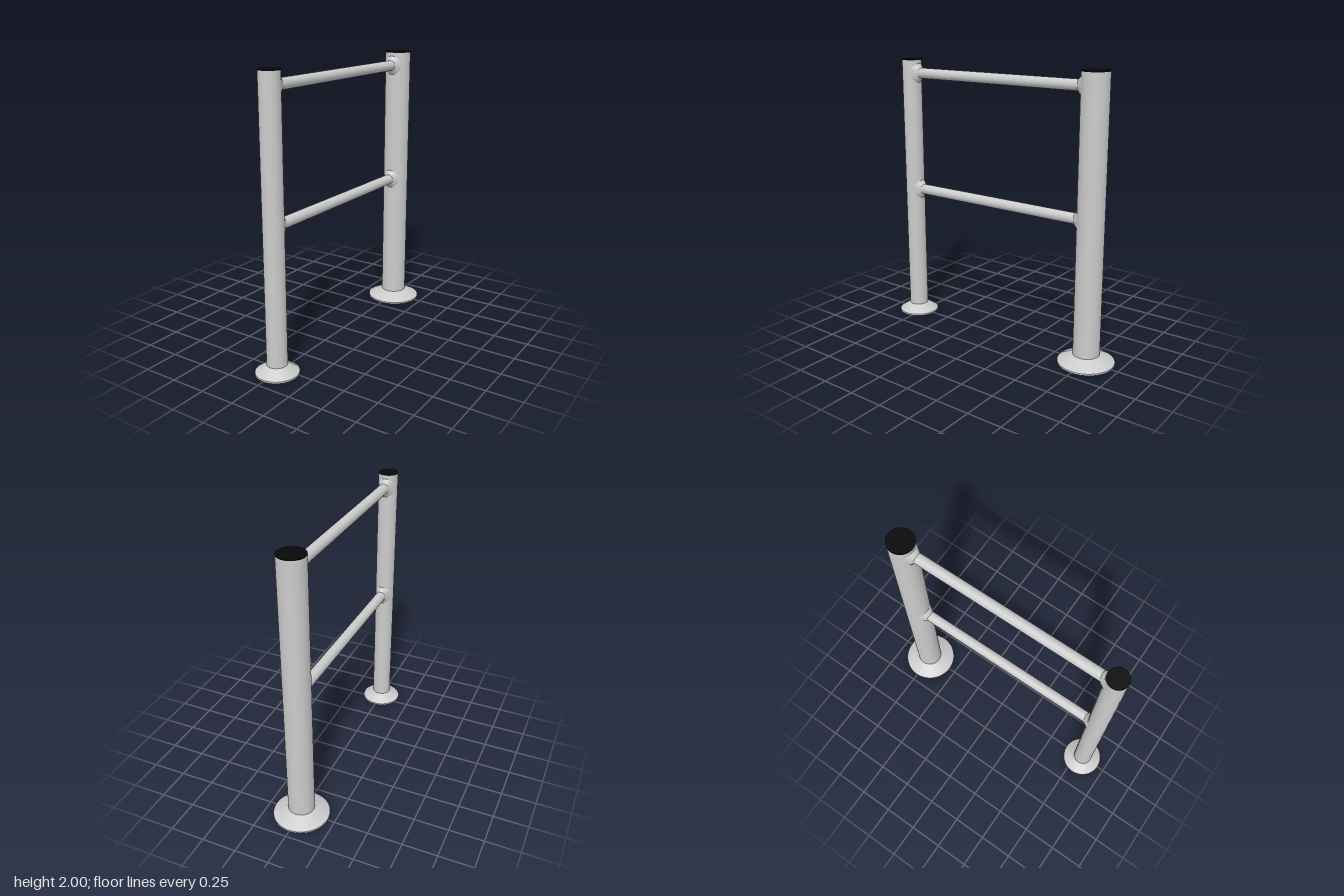
import * as THREE from 'three';

const metal = new THREE.MeshStandardMaterial({ color: 0xcccccc, side: THREE.DoubleSide });
const black = new THREE.MeshStandardMaterial({ color: 0x080808 });

const SEG = 48;
const RAIL_R = 0.038;
const RAIL_HEIGHTS = [1.9, 1.017];
const FLANGE_TOP = 0.065, RIM = 0.012, CAP = 0.006, TOP = 2;

function add(parent, name, geometry, material = metal) {
  const mesh = new THREE.Mesh(geometry, material);
  mesh.name = name;
  parent.add(mesh);
  return mesh;
}

// Open tube or cone standing between two heights
function sleeve(rTop, rBottom, y0, y1) {
  return new THREE.CylinderGeometry(rTop, rBottom, y1 - y0, SEG, 1, true)
    .translate(0, (y0 + y1) / 2, 0);
}

// Flared weld collar whose base hugs the round post and whose mouth meets the rail
function collarGeometry(postR) {
  const g = new THREE.CylinderGeometry(RAIL_R, 0.069, 1, 32, 1, true).rotateX(Math.PI / 2);
  const p = g.attributes.position;
  for (let i = 0; i < p.count; i++) {
    const x = p.getX(i);
    const t = p.getZ(i) + 0.5;
    p.setZ(i, Math.sqrt(Math.max(0, postR * postR - x * x)) + 0.025 * t);
  }
  g.computeVertexNormals();
  return g;
}

// Hollow post on a hollow conical foot, with a black cap and collars facing local +z
function makePost(name, postR, flangeR) {
  const post = new THREE.Group();
  post.name = name;
  add(post, 'tube', sleeve(postR, postR, FLANGE_TOP, TOP - CAP));
  add(post, 'footCone', sleeve(postR, flangeR, RIM, FLANGE_TOP));
  add(post, 'footRim', sleeve(flangeR, flangeR, 0, RIM));
  const cap = add(post, 'cap', new THREE.CylinderGeometry(postR, postR, CAP, SEG), black);
  cap.position.y = TOP - CAP / 2;
  for (const y of RAIL_HEIGHTS) {
    add(post, 'collar', collarGeometry(postR)).position.y = y;
  }
  return post;
}

export function createModel() {
  const model = new THREE.Group();
  model.name = 'guardRail';

  const back = makePost('backPost', 0.094, 0.2);
  back.position.z = -0.752;
  const front = makePost('frontPost', 0.071, 0.15);
  front.position.z = 0.798;
  front.rotation.y = Math.PI;
  model.add(back, front);

  // Horizontal rails joining the posts
  const z0 = -0.665, z1 = 0.735;
  for (const y of RAIL_HEIGHTS) {
    const rail = add(model, 'rail',
      new THREE.CylinderGeometry(RAIL_R, RAIL_R, z1 - z0, 32, 1, true).rotateX(Math.PI / 2));
    rail.position.set(0, y, (z0 + z1) / 2);
  }
  return model;
}
